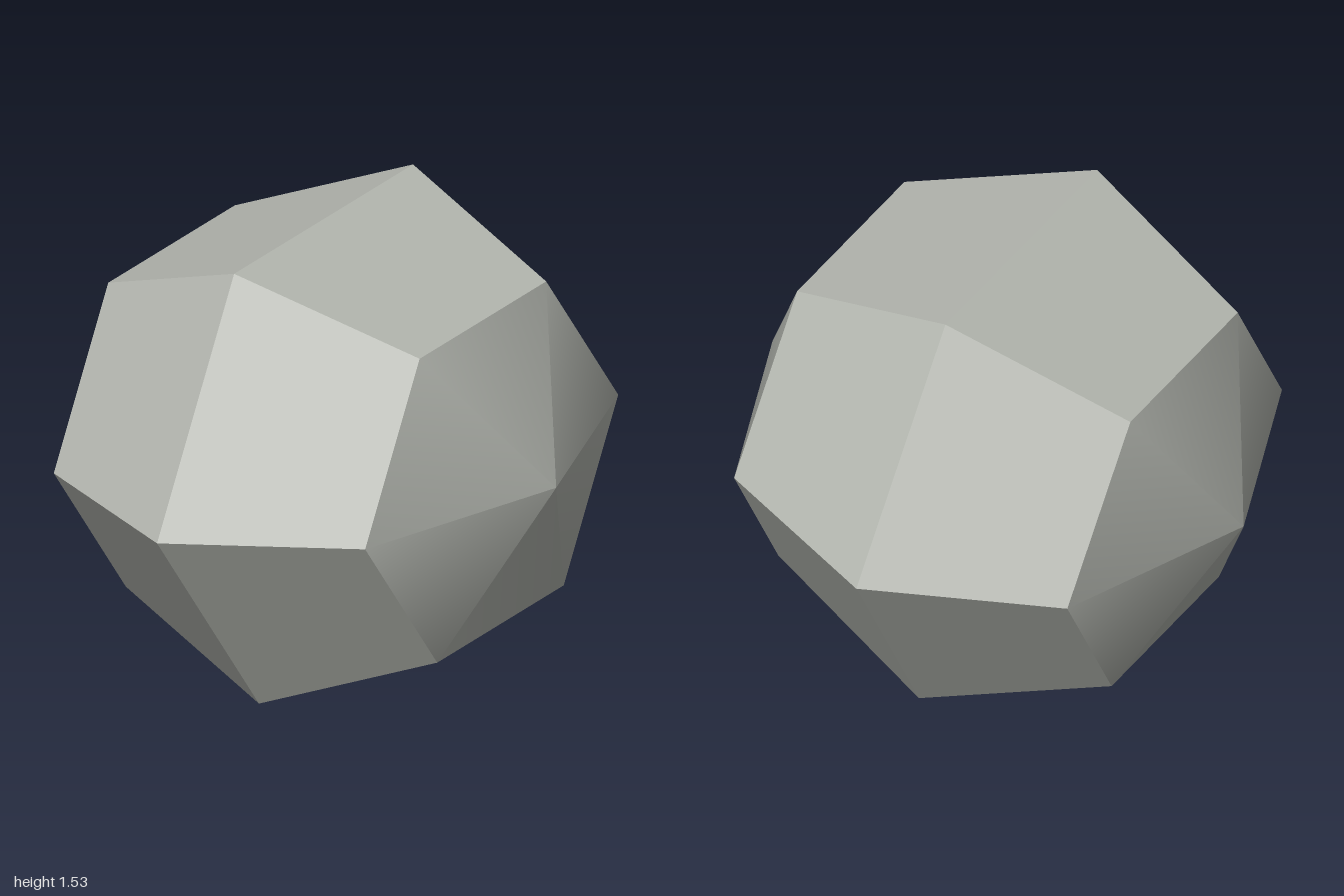
import * as THREE from 'three';
import { toCreasedNormals } from 'three/addons/utils/BufferGeometryUtils.js';

export function createModel() {
  const group = new THREE.Group();
  group.name = 'facetedStone';
  const stoneGrey = new THREE.MeshStandardMaterial({ color: 0xb4b7b0 });
  stoneGrey.name = 'stoneGrey';

  // Six-sided, four-band ball lying on its side, slightly squashed and tilted
  const geometry = new THREE.SphereGeometry(1, 6, 4);
  geometry.rotateY(Math.PI / 2); // corners of each ring point to +z and -z
  geometry.rotateZ(-Math.PI / 2); // poles to left and right
  geometry.scale(0.887, 0.887, 1);
  geometry.rotateZ(0.065);

  // Flat bands with sharp edges, smooth end caps
  const stone = new THREE.Mesh(toCreasedNormals(geometry, 0.6), stoneGrey);
  stone.name = 'stone';
  stone.position.y = 0.767;
  group.add(stone);
  return group;
}
